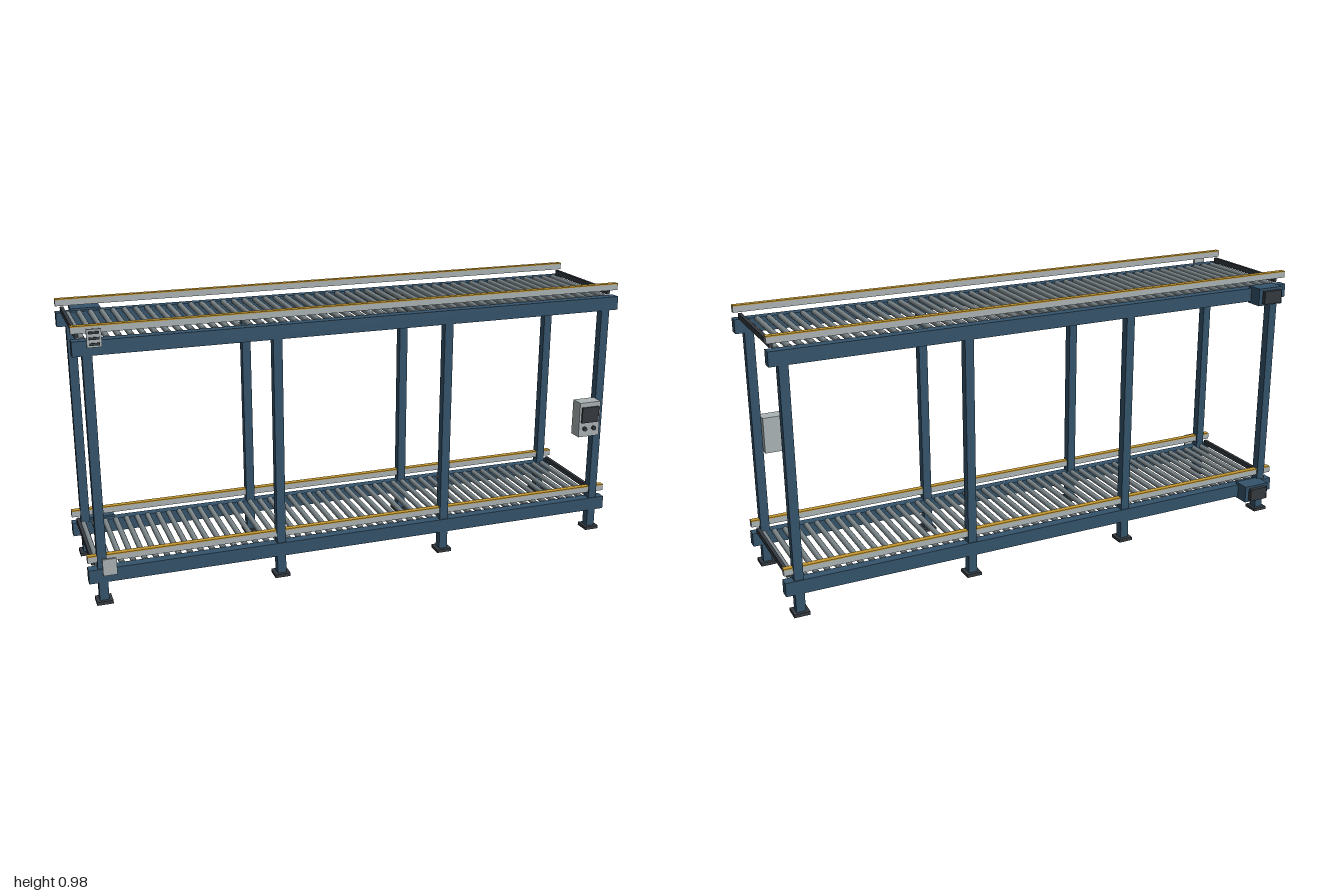
import * as THREE from 'three';

const paint = (name, color) => {
  const m = new THREE.MeshStandardMaterial({ color });
  m.name = name;
  return m;
};

export function createModel() {
  const blue = paint('frame blue', 0x34536b);
  const steel = paint('roller steel', 0x808b8f);
  const pale = paint('pale grey', 0xacb4b6);
  const dark = paint('charcoal', 0x343a40);
  const gold = paint('guard gold', 0xc4972f);

  const root = new THREE.Group();
  root.name = 'twoLevelRollerConveyor';

  // Box given by its extents along each axis
  const box = (parent, name, mat, [x0, x1], [y0, y1], [z0, z1]) => {
    const mesh = new THREE.Mesh(new THREE.BoxGeometry(x1 - x0, y1 - y0, z1 - z0), mat);
    mesh.position.set((x0 + x1) / 2, (y0 + y1) / 2, (z0 + z1) / 2);
    mesh.name = name;
    parent.add(mesh);
    return mesh;
  };
  const around = (c, size) => [c - size / 2, c + size / 2];

  // Uprights with foot plates
  for (const x of [-0.952, -0.317, 0.317, 0.952]) {
    for (const z of [-0.21, 0.21]) {
      box(root, 'upright', blue, around(x, 0.032), [0.012, 0.925], around(z, 0.032));
      box(root, 'footPlate', dark, around(x, 0.056), [0, 0.012], around(z, 0.057));
    }
  }

  // One conveyor level; base is the underside of its side rails
  const rollerGeo = new THREE.CylinderGeometry(0.01, 0.01, 0.39, 16);
  rollerGeo.rotateX(Math.PI / 2);
  const buildDeck = (name, base) => {
    const deck = new THREE.Group();
    deck.name = name;
    deck.position.y = base;
    root.add(deck);

    for (const s of [-1, 1]) {
      box(deck, 'sideRail', blue, [-1, 1], [0, 0.05], around(s * 0.2115, 0.036));
      box(deck, 'guardRail', pale, [-1, 1], [0.073, 0.094], around(s * 0.211, 0.02));
      box(deck, 'guardCap', gold, [-1, 1], [0.094, 0.098], around(s * 0.211, 0.021));
      box(deck, 'endStop', dark, around(s * 0.979, 0.012), [0.052, 0.072], [-0.194, 0.194]);
    }

    for (let i = 0; i < 49; i++) {
      const roller = new THREE.Mesh(rollerGeo, steel);
      roller.name = 'roller';
      roller.position.set(-0.96 + i * 0.04, 0.045, 0);
      deck.add(roller);
    }

    // Drive motor at the back
    box(deck, 'motorHousing', blue, [-0.947, -0.842], [-0.008, 0.057], [-0.279, -0.214]);
    box(deck, 'motorCover', dark, [-0.932, -0.857], [0, 0.048], [-0.295, -0.279]);

    // Marker plate at the front
    box(deck, 'markerPlate', pale, [-0.953, -0.905], [0.03, 0.09], [0.236, 0.244]);
    return deck;
  };
  buildDeck('lowerDeck', 0.08);
  const upper = buildDeck('upperDeck', 0.88);

  // Dark bands on the upper marker plate
  for (const y of [0.041, 0.06, 0.079]) {
    box(upper, 'markerBand', dark, [-0.946, -0.912], around(y, 0.008), [0.244, 0.248]);
  }

  // Control box with screen and two buttons
  const control = new THREE.Group();
  control.name = 'controlBox';
  root.add(control);
  box(control, 'controlHousing', pale, [0.834, 0.92], [0.414, 0.548], [0.236, 0.288]);
  box(control, 'screen', dark, [0.842, 0.912], [0.47, 0.53], [0.288, 0.295]);
  for (const x of [0.857, 0.895]) {
    const button = new THREE.Mesh(new THREE.CylinderGeometry(0.008, 0.008, 0.01, 16), dark);
    button.name = 'button';
    button.rotation.x = Math.PI / 2;
    button.position.set(x, 0.446, 0.293);
    control.add(button);
  }

  return root;
}
